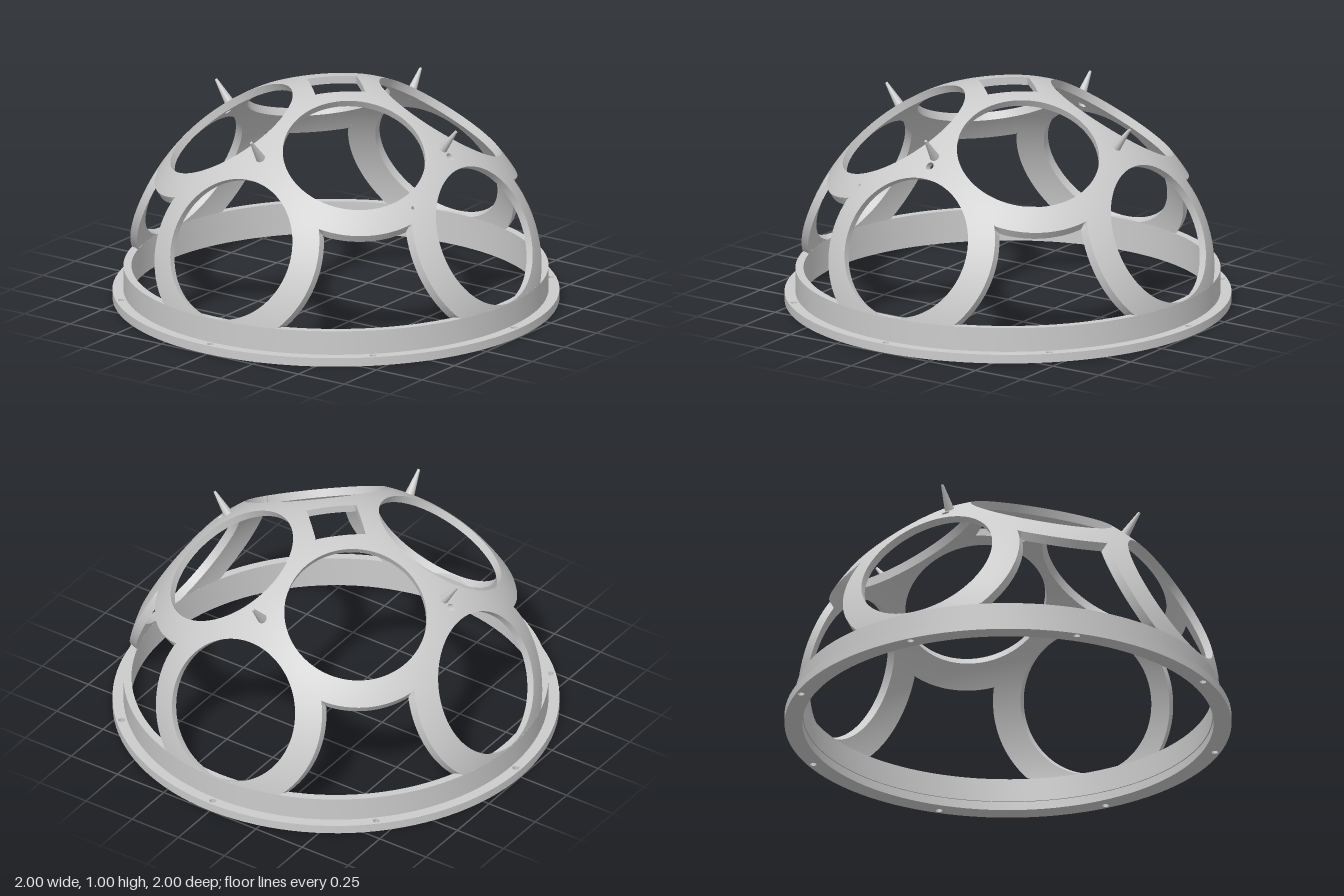
import * as THREE from 'three';
import { mergeGeometries, toCreasedNormals } from 'three/addons/utils/BufferGeometryUtils.js';

const R_OUT = 0.955, R_IN = 0.92, CENTRE_Y = 0.055;   // spherical shell
const HOLE = 0.32, RIM = 0.432;                        // round window and its rim
const BAND_TOP = 0.15, SKYLIGHT = 0.16;
const material = new THREE.MeshStandardMaterial({ color: 0xcccccc });

function addMesh(parent, geometry, name) {
  const mesh = new THREE.Mesh(geometry, material);
  mesh.name = name;
  parent.add(mesh);
  return mesh;
}

// Surface through f(a, b); it faces along (df/da x df/db). sign sets sphere normals.
function grid(f, na, nb, sign = 0) {
  const pos = [], index = [];
  for (let j = 0; j <= nb; j++) {
    for (let i = 0; i <= na; i++) {
      pos.push(...f(i / na, j / nb).toArray());
      if (i < na && j < nb) {
        const p = j * (na + 1) + i, q = p + na + 1;
        index.push(p, p + 1, q + 1, p, q + 1, q);
      }
    }
  }
  const g = new THREE.BufferGeometry();
  g.setAttribute('position', new THREE.Float32BufferAttribute(pos, 3));
  g.setIndex(index);
  g.computeVertexNormals();
  if (sign) {
    const v = new THREE.Vector3();
    for (let i = 0; i < pos.length / 3; i++) {
      v.fromArray(pos, i * 3).normalize().multiplyScalar(sign);
      g.attributes.normal.setXYZ(i, v.x, v.y, v.z);
    }
  }
  return g;
}

// Thick patch: f(a, b, R) with a running from the inner edge to the outer edge
function thickPatch(f, na, nb) {
  const mix = (a, b, t) => f(a, b, R_IN).lerp(f(a, b, R_OUT), t);
  return [
    grid((a, b) => f(a, b, R_OUT), na, nb, 1),
    grid((a, b) => f(1 - a, b, R_IN), na, nb, -1),
    grid((t, b) => mix(0, b, t), 1, nb),
    grid((t, b) => mix(1, b, 1 - t), 1, nb),
  ];
}

// Rim around one round window, trimmed by planes {n, d} that keep n.p >= d
function rimGeometry(axis, planes, spot) {
  const up = new THREE.Vector3(0, 1, 0).addScaledVector(axis, -axis.y).normalize();
  const side = new THREE.Vector3().crossVectors(up, axis);
  const radial = (th) => side.clone().multiplyScalar(Math.cos(th)).addScaledVector(up, Math.sin(th));
  const point = (rho, th, R) => radial(th).multiplyScalar(rho)
    .addScaledVector(axis, Math.sqrt(R * R - rho * rho));
  const outer = (th, R) => {
    const dir = radial(th);
    let phi = Math.asin(RIM / R);
    for (const { n, d } of planes) {
      const na = n.dot(axis), nr = n.dot(dir), k = d / (R * Math.hypot(na, nr));
      if (Math.abs(k) < 1) phi = Math.min(phi, Math.atan2(nr, na) + Math.acos(k));
    }
    return Math.max(HOLE + 0.001, R * Math.sin(phi));
  };

  let start = 0, sweep = Math.PI * 2;
  const parts = [];
  if (spot) {
    // small drilled hole, in its own sector of the rim
    const { rho, r } = spot;
    const th0 = Math.atan2(spot.dir.dot(up), spot.dir.dot(side)), half = 1.8 * r / rho;
    start = th0 + half;
    sweep -= 2 * half;
    parts.push(...thickPatch((a, b, R) => {
      const c = Math.cos(b * Math.PI * 2), s = Math.sin(b * Math.PI * 2);
      const q = Math.max(Math.abs(c), Math.abs(s));
      const thB = th0 + half * s / q;
      const rhoB = rho + (c / q) * (c > 0 ? outer(thB, R) - rho : rho - HOLE);
      const thA = th0 + r * s / rho, rhoA = rho + r * c;
      return point(rhoA + (rhoB - rhoA) * a, thA + (thB - thA) * a, R);
    }, 3, 32));
  }
  parts.push(...thickPatch((a, b, R) => {
    const th = start + sweep * b;
    return point(HOLE + (outer(th, R) - HOLE) * a, th, R);
  }, 5, 240));
  return mergeGeometries(parts);
}

// Flat ring between two heights, with optional bolt holes
function flatRing(rOut, rIn, y0, y1, bolts = 0) {
  const shape = new THREE.Shape().absarc(0, 0, rOut, 0, Math.PI * 2);
  const cut = (x, y, r) => shape.holes.push(new THREE.Path().absarc(x, y, r, 0, Math.PI * 2, true));
  cut(0, 0, rIn);
  for (let i = 0; i < bolts; i++) {
    const a = i / bolts * Math.PI * 2;
    cut(0.975 * Math.cos(a), 0.975 * Math.sin(a), 0.015);
  }
  const g = new THREE.ExtrudeGeometry(shape, { depth: y1 - y0, bevelEnabled: false, curveSegments: 56 });
  g.rotateX(-Math.PI / 2).translate(0, y0, 0);
  return toCreasedNormals(g, 0.6);
}

const direction = (polar, azimuth) => new THREE.Vector3().setFromSphericalCoords(
  1, THREE.MathUtils.degToRad(polar), THREE.MathUtils.degToRad(azimuth));

export function createModel() {
  const model = new THREE.Group();
  model.name = 'domeFrame';

  // base
  addMesh(model, flatRing(1, 0.92, 0, 0.04, 8), 'baseFlange');
  addMesh(model, flatRing(0.951, 0.915, 0.04, BAND_TOP), 'baseBand');

  // dome of eight window rims: four low on the axes, four high on the diagonals
  const dome = new THREE.Group();
  dome.name = 'dome';
  dome.position.y = CENTRE_Y;
  model.add(dome);
  const windows = [];
  for (let i = 0; i < 4; i++) {
    windows.push({ axis: direction(64.5, i * 90), name: 'lowerWindowRim' });
    windows.push({ axis: direction(31.8, 45 + i * 90), name: 'upperWindowRim', upper: true });
  }
  for (const w of windows) {
    // neighbouring rims meet halfway
    const planes = windows.filter((o) => o !== w)
      .map((o) => ({ n: w.axis.clone().sub(o.axis), d: 0 }));
    let spot = null;
    if (w.upper) {
      const n = new THREE.Vector3(w.axis.x, 0, w.axis.z).normalize();
      planes.push({ n, d: SKYLIGHT / Math.SQRT2 });
      if (w.axis.x > 0 && w.axis.z > 0) {
        spot = { dir: new THREE.Vector3(0.7225, 0.592, 0.366), rho: 0.378, r: 0.007 };
      }
    } else {
      planes.push({ n: new THREE.Vector3(0, 1, 0), d: BAND_TOP - CENTRE_Y });
      if (Math.abs(w.axis.x) > 0.5) spot = { dir: new THREE.Vector3(0, 1, 0), rho: 0.383, r: 0.018 };
    }
    addMesh(dome, rimGeometry(w.axis, planes, spot), w.name);
  }

  // spikes standing out of the dome above the lower windows
  for (let i = 0; i < 4; i++) {
    const dir = direction(37.8, i * 90);
    const spike = addMesh(dome, new THREE.CylinderGeometry(0.006, 0.023, 0.13, 24), 'spike');
    spike.position.copy(dir).multiplyScalar(R_OUT + 0.053);
    spike.quaternion.setFromUnitVectors(new THREE.Vector3(0, 1, 0), dir);
  }
  return model;
}
